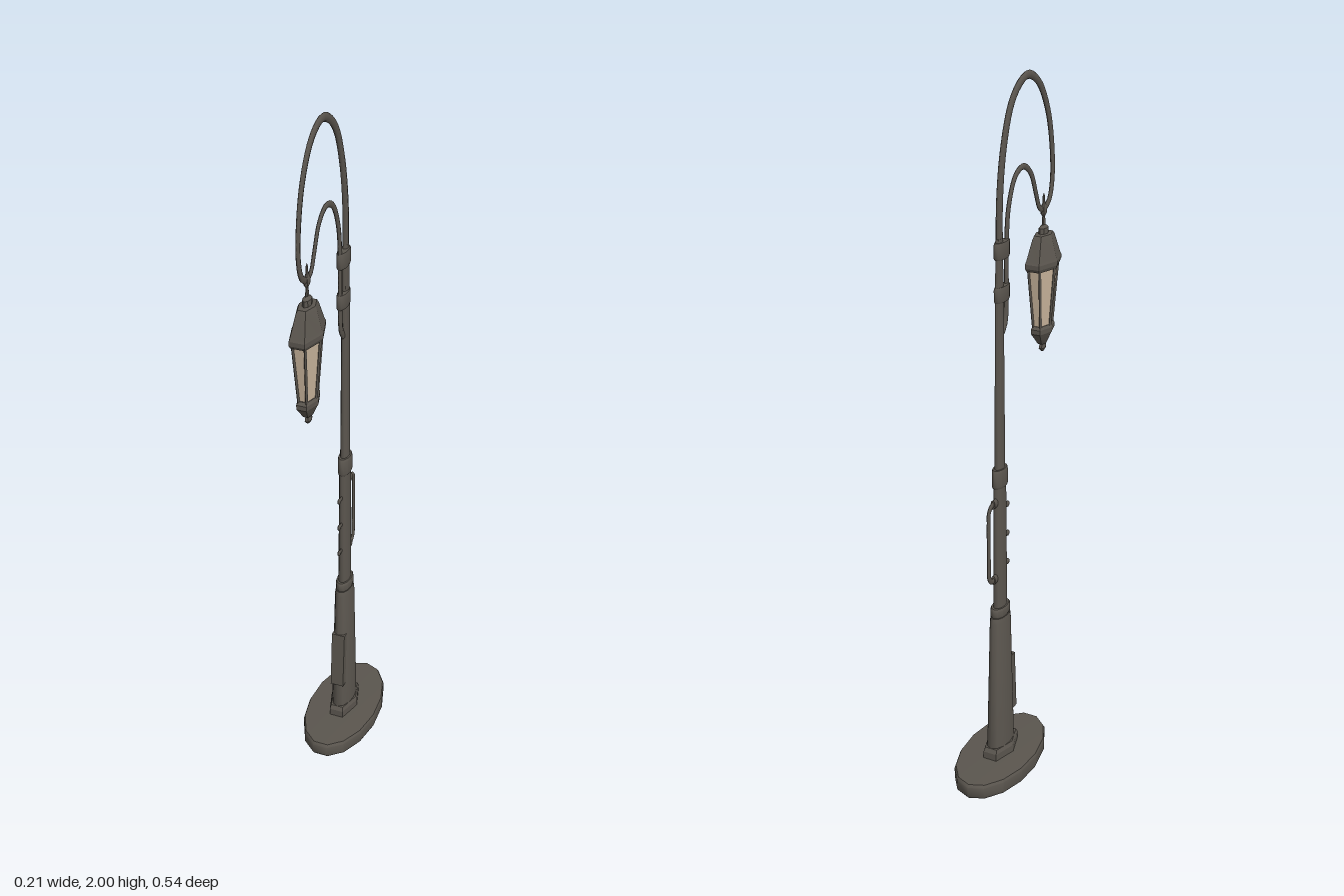
import * as THREE from 'three';
import { toCreasedNormals } from 'three/addons/utils/BufferGeometryUtils.js';

const POLE_Z = -0.065;
const LAMP_Z = 0.195;

export function createModel() {
  const metal = new THREE.MeshStandardMaterial({ color: 0x5a554e });
  metal.name = 'dark iron';
  const glass = new THREE.MeshStandardMaterial({ color: 0xc9b59c });
  glass.name = 'warm glass';

  const model = new THREE.Group();
  model.name = 'streetLamp';
  // The whole lamp is drawn round, then slimmed from side to side
  const lamp = new THREE.Group();
  lamp.name = 'slimmedLamp';
  lamp.scale.x = 0.52;
  model.add(lamp);

  function add(name, geometry, z = 0, material = metal, parent = lamp) {
    const mesh = new THREE.Mesh(geometry, material);
    mesh.name = name;
    mesh.position.z = z;
    parent.add(mesh);
    return mesh;
  }

  // Solid of revolution from [radius, y] pairs, listed from bottom to top
  function turned(profile, sides, turn = 0, crease = 0.7) {
    const points = profile.map(([r, y]) => new THREE.Vector2(r, y));
    const geometry = new THREE.LatheGeometry(points, sides);
    geometry.rotateY(turn);
    return toCreasedNormals(geometry, crease);
  }
  // Six-sided version; radii are measured to the flats, corners lie on x
  const hex = (profile) =>
    turned(profile.map(([r, y]) => [r / Math.cos(Math.PI / 6), y]), 6, Math.PI / 6, 0.4);

  // Round band with softened edges
  const band = (r, y0, y1) => turned(
    [[0, y0], [r * 0.9, y0], [r, y0 + 0.006], [r, y1 - 0.006], [r * 0.9, y1], [0, y1]], 12);

  // Tube along [z, y] points in the x = 0 plane, tapering from r0 to r1
  function bentTube(points, r0, r1, steps) {
    const curve = new THREE.CatmullRomCurve3(points.map(([z, y]) => new THREE.Vector3(0, y, z)));
    const sides = 8;
    const geometry = new THREE.TubeGeometry(curve, steps, r0, sides);
    const pos = geometry.attributes.position;
    const v = new THREE.Vector3();
    for (let i = 0; i <= steps; i++) {
      const center = curve.getPointAt(i / steps);
      const k = THREE.MathUtils.lerp(1, r1 / r0, i / steps);
      for (let j = 0; j <= sides; j++) {
        const n = i * (sides + 1) + j;
        v.fromBufferAttribute(pos, n).sub(center).multiplyScalar(k).add(center);
        pos.setXYZ(n, v.x, v.y, v.z);
      }
    }
    return geometry;
  }

  // Straight bar between two points
  function bar(a, b, r, sides = 6) {
    const dir = b.clone().sub(a);
    const geometry = new THREE.CylinderGeometry(r, r, dir.length(), sides);
    geometry.applyQuaternion(new THREE.Quaternion().setFromUnitVectors(
      new THREE.Vector3(0, 1, 0), dir.clone().normalize()));
    const mid = a.clone().add(b).multiplyScalar(0.5);
    return geometry.translate(mid.x, mid.y, mid.z);
  }

  // Foot plate
  add('basePlate', turned(
    [[0, 0], [0.2, 0], [0.206, 0.008], [0.206, 0.038], [0.2, 0.046], [0, 0.05]], 15, Math.PI),
  POLE_Z);

  // Lower column and its six-sided plinth
  add('plinth', hex([[0, 0.045], [0.069, 0.045], [0.069, 0.07], [0.062, 0.082], [0, 0.082]]), POLE_Z);
  add('lowerColumn', turned(
    [[0, 0.08], [0.062, 0.08], [0.047, 0.49], [0.042, 0.505], [0, 0.505]], 12), POLE_Z);
  add('columnCollar', band(0.043, 0.505, 0.535), POLE_Z);

  // Tilted access door on the front of the column
  const door = add('accessDoor', new THREE.BoxGeometry(0.076, 0.185, 0.022), -0.018);
  door.position.y = 0.26;
  door.rotation.x = -0.06;

  // Upper pole
  add('middlePole', turned([[0, 0.53], [0.031, 0.53], [0.027, 0.92], [0, 0.92]], 12), POLE_Z);
  add('poleCollar', band(0.034, 0.905, 0.96), POLE_Z);
  add('upperPole', turned([[0, 0.95], [0.023, 0.95], [0.018, 1.45], [0.014, 1.6], [0, 1.6]], 12), POLE_Z);

  // Clamps holding the pole and the small arm together
  for (const [y0, y1] of [[1.43, 1.472], [1.545, 1.59]]) {
    add('armClamp', band(0.027, y0, y1), -0.05).scale.z = 1.4;
  }

  // Pegs on the front, with knobs
  for (const y of [0.65, 0.74, 0.83]) {
    const peg = new THREE.CylinderGeometry(0.006, 0.006, 0.03, 8);
    peg.rotateX(Math.PI / 2);
    add('peg', peg, -0.032).position.y = y;
    add('pegKnob', new THREE.SphereGeometry(0.009, 8, 6), -0.02).position.y = y;
  }

  // Handle on the back
  add('handle', bentTube([
    [-0.085, 0.63], [-0.115, 0.63], [-0.13, 0.645], [-0.132, 0.68],
    [-0.132, 0.82], [-0.13, 0.85], [-0.115, 0.863], [-0.085, 0.863],
  ], 0.008, 0.008, 32));
  for (const y of [0.63, 0.863]) {
    const mount = new THREE.CylinderGeometry(0.014, 0.014, 0.018, 8);
    mount.rotateX(Math.PI / 2);
    add('handleMount', mount, -0.098).position.y = y;
  }

  // Large hooked arm and smaller scroll beneath it
  add('largeArm', bentTube([
    [-0.065, 1.57], [-0.062, 1.7], [-0.042, 1.82], [0.0, 1.925], [0.05, 1.972], [0.1, 1.986],
    [0.162, 1.955], [0.217, 1.87], [0.244, 1.76], [0.245, 1.68], [0.228, 1.633], [0.195, 1.612],
  ], 0.014, 0.009, 48));
  add('smallArm', bentTube([
    [-0.05, 1.34], [-0.032, 1.365], [-0.026, 1.42], [-0.024, 1.58], [-0.012, 1.67],
    [0.025, 1.74], [0.07, 1.757], [0.115, 1.73], [0.148, 1.665], [0.168, 1.625], [0.195, 1.612],
  ], 0.01, 0.008, 48));

  // Hanging lantern
  const lantern = new THREE.Group();
  lantern.name = 'lantern';
  lantern.position.z = LAMP_Z;
  lamp.add(lantern);
  const part = (name, geometry, material = metal) => add(name, geometry, 0, material, lantern);

  part('hanger', turned([
    [0, 1.54], [0.021, 1.545], [0.021, 1.565], [0.008, 1.573], [0.006, 1.595],
    [0.014, 1.605], [0.014, 1.62], [0.006, 1.632], [0.005, 1.65], [0, 1.66],
  ], 8));
  part('lanternRoof', hex([
    [0, 1.455], [0.064, 1.455], [0.07, 1.464], [0.07, 1.476], [0.065, 1.484],
    [0.043, 1.538], [0.036, 1.548], [0, 1.55],
  ]));
  part('lanternGlass', hex([[0, 1.285], [0.035, 1.285], [0.056, 1.46], [0, 1.46]]), glass);
  part('lanternFoot', hex([
    [0, 1.21], [0.007, 1.213], [0.015, 1.222], [0.012, 1.233], [0.02, 1.238],
    [0.04, 1.265], [0.046, 1.272], [0.046, 1.285], [0.039, 1.293], [0, 1.293],
  ]));

  // Frame bars along the glass corners
  for (let i = 0; i < 6; i++) {
    const a = i * Math.PI / 3;
    const corner = (flat, y) => {
      const r = flat / Math.cos(Math.PI / 6);
      return new THREE.Vector3(Math.cos(a) * r, y, Math.sin(a) * r);
    };
    part('lanternBar', bar(corner(0.036, 1.285), corner(0.057, 1.46), 0.006));
  }

  return model;
}
